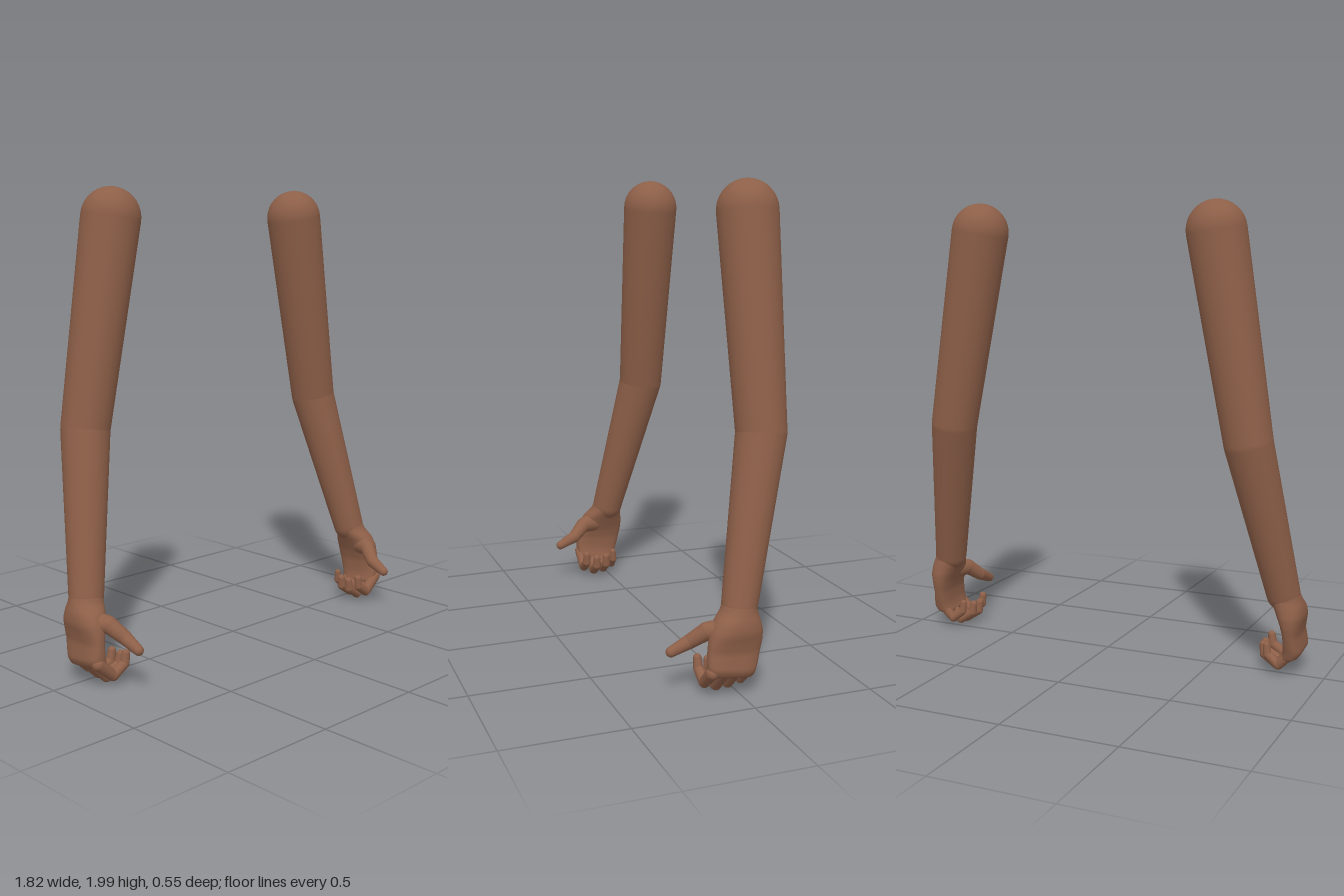
import * as THREE from 'three';

const skin = new THREE.MeshStandardMaterial({ color: 0x8d5f48 });
skin.name = 'brown skin';

// Tapered limb segment with rounded ends, from a to b
function segment(name, a, b, ra, rb, sides = 32) {
  const va = new THREE.Vector3(...a), vb = new THREE.Vector3(...b);
  const dir = vb.clone().sub(va), len = dir.length();
  const tilt = Math.asin((ra - rb) / len);
  const profile = [], n = 9;
  for (let i = 0; i <= n; i++) {
    const t = -Math.PI / 2 + (i / n) * (Math.PI / 2 + tilt);
    profile.push(new THREE.Vector2(Math.max(0, ra * Math.cos(t)), ra * Math.sin(t)));
  }
  for (let i = 0; i <= n; i++) {
    const t = tilt + (i / n) * (Math.PI / 2 - tilt);
    profile.push(new THREE.Vector2(Math.max(0, rb * Math.cos(t)), len + rb * Math.sin(t)));
  }
  const mesh = new THREE.Mesh(new THREE.LatheGeometry(profile, sides), skin);
  mesh.name = name;
  mesh.position.copy(va);
  mesh.quaternion.setFromUnitVectors(new THREE.Vector3(0, 1, 0), dir.normalize());
  return mesh;
}

// Chain of segments through joints given as [x, y, z, radius]
function chain(name, joints, side, sides) {
  const g = new THREE.Group();
  g.name = name;
  const at = (j) => [side * j[0], j[1], j[2]];
  for (let i = 0; i < joints.length - 1; i++) {
    const p = joints[i], q = joints[i + 1];
    g.add(segment(name + 'Segment' + (i + 1), at(p), at(q), p[3], q[3], sides));
  }
  return g;
}

// Palm cross-sections from wrist to knuckles: x, y, z, half thickness, half width, roundness, slope
const palmRings = [
  [0.818, 0.40, -0.025, 0.02, 0.02, 1, 0],
  [0.82, 0.38, -0.015, 0.068, 0.068, 1, 0],
  [0.828, 0.345, -0.005, 0.07, 0.074, 1, 0],
  [0.842, 0.31, 0.008, 0.067, 0.094, 0.9, 0],
  [0.853, 0.27, 0.015, 0.059, 0.108, 0.85, 0],
  [0.857, 0.23, 0.021, 0.046, 0.112, 0.8, 0],
  [0.859, 0.19, 0.028, 0.037, 0.109, 0.75, 0.05],
  [0.862, 0.15, 0.035, 0.039, 0.105, 0.7, 0.1],
  [0.862, 0.12, 0.04, 0.042, 0.1, 0.65, 0.12],
  [0.852, 0.095, 0.042, 0.04, 0.094, 0.65, 0.12],
  [0.842, 0.083, 0.042, 0.028, 0.082, 0.7, 0.12],
  [0.838, 0.08, 0.042, 0.001, 0.002, 1, 0],
];

function palm(side) {
  const curve = new THREE.CatmullRomCurve3(palmRings.map((r) => new THREE.Vector3(r[0], r[1], r[2])));
  const steps = 3, seg = 36, pos = [], idx = [];
  const rows = (palmRings.length - 1) * steps;
  const signedPow = (v, e) => Math.sign(v) * Math.pow(Math.abs(v), e);
  for (let i = 0; i <= rows; i++) {
    const k = Math.min(Math.floor(i / steps), palmRings.length - 2), f = i / steps - k;
    const mix = (c) => THREE.MathUtils.lerp(palmRings[k][c], palmRings[k + 1][c], f);
    const c = curve.getPoint(i / rows);
    for (let j = 0; j < seg; j++) {
      const a = (j / seg) * Math.PI * 2;
      const dx = mix(3) * signedPow(Math.cos(a), mix(5));
      const dz = mix(4) * signedPow(Math.sin(a), mix(5));
      pos.push(side * c.x + dx, c.y + dz * mix(6), c.z + dz);
      if (i < rows) {
        const p = i * seg + j, q = i * seg + ((j + 1) % seg);
        idx.push(p, q, p + seg, q, q + seg, p + seg);
      }
    }
  }
  const geo = new THREE.BufferGeometry();
  geo.setAttribute('position', new THREE.Float32BufferAttribute(pos, 3));
  geo.setIndex(idx);
  geo.computeVertexNormals();
  const mesh = new THREE.Mesh(geo, skin);
  mesh.name = 'palm';
  return mesh;
}

// Fingers: knuckle z, tip z, length scale, lowest y, radius
const fingers = [
  ['indexFinger', 0.122, 0.128, 0.92, 0.052, 0.023],
  ['middleFinger', 0.07, 0.078, 1.0, 0.033, 0.024],
  ['ringFinger', 0.02, 0.028, 0.97, 0.036, 0.023],
  ['littleFinger', -0.03, -0.018, 0.78, 0.05, 0.02],
];

function arm(side) {
  const g = new THREE.Group();
  g.name = side > 0 ? 'leftArm' : 'rightArm';
  const shoulder = [0.55, 1.875, -0.152, 0.125];
  const elbow = [0.7, 1.015, -0.153, 0.103];
  const wrist = [0.82, 0.36, -0.012, 0.072];
  g.add(chain('upperArm', [shoulder, elbow], side, 48));
  g.add(chain('forearm', [elbow, wrist], side, 48));
  g.add(palm(side));

  // Curled fingers
  for (const [name, z0, z1, len, low, r] of fingers) {
    const x = (v) => 0.865 - (0.865 - v) * len;
    const z = (t) => THREE.MathUtils.lerp(z0, z1, t);
    g.add(chain(name, [
      [0.868, 0.115, z(0), r * 1.15],
      [x(0.79), low, z(0.4), r],
      [x(0.727), low + 0.037, z(0.8), r * 0.88],
      [x(0.72), low + 0.078, z(1), r * 0.72],
    ], side, 16));
  }

  // Thumb reaching forward
  g.add(chain('thumb', [
    [0.845, 0.27, 0.055, 0.05],
    [0.812, 0.268, 0.12, 0.036],
    [0.777, 0.22, 0.18, 0.029],
    [0.77, 0.185, 0.255, 0.021],
  ], side, 20));
  return g;
}

export function createModel() {
  const model = new THREE.Group();
  model.name = 'armPair';
  for (const side of [1, -1]) model.add(arm(side));
  return model;
}
